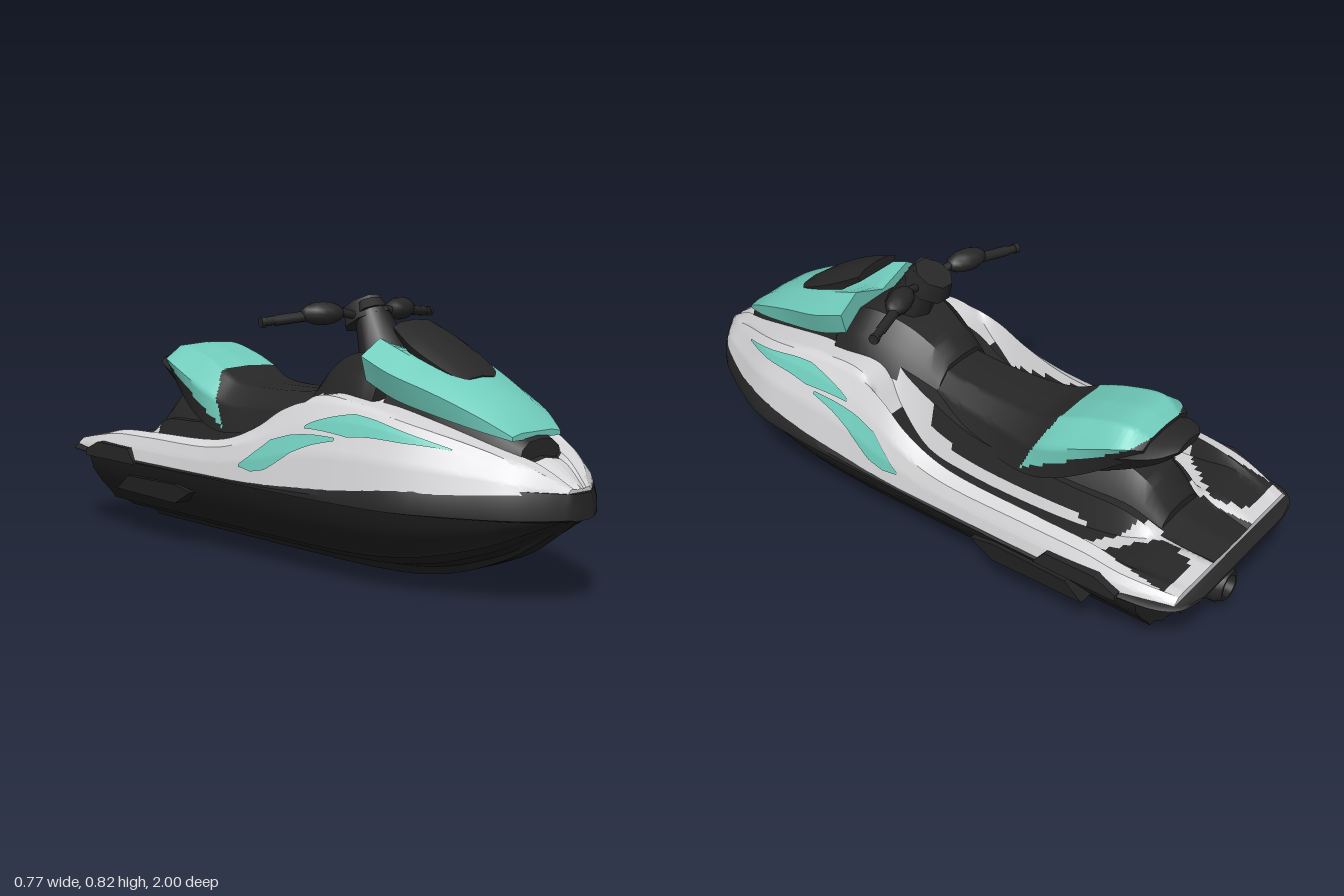
import * as THREE from 'three';
import { toCreasedNormals } from 'three/addons/utils/BufferGeometryUtils.js';

const mat = (name, color) => Object.assign(new THREE.MeshStandardMaterial({ color }), { name });
const mix = THREE.MathUtils.lerp;

// Curves running front to back through matching points of half sections [z, [[x, y], ...]]
const railsOf = (sections) => sections[0][1].map((_, i) =>
  new THREE.CatmullRomCurve3(sections.map(([z, pts]) => new THREE.Vector3(pts[i][0], pts[i][1], z))));

// Surface point at section number t and profile position v
function surfacePoint(rails, count, t, v) {
  const i = Math.min(Math.floor(v), rails.length - 2);
  const u = t / (count - 1);
  return rails[i].getPoint(u).lerp(rails[i + 1].getPoint(u), v - i);
}

// Closed mirrored loft. Half profiles run from top centre outward and down.
// paint(x, y, z, segment) gives the index of the material of each face.
function loft(name, mats, sections, { per = 4, sub = 1, paint = () => 0, crease = 0.6 } = {}) {
  const rails = railsOf(sections);
  const rows = (sections.length - 1) * per, n = (rails.length - 1) * sub + 1, ring = 2 * n - 1;
  const verts = [];
  for (let r = 0; r <= rows; r++) {
    const half = [];
    for (let j = 0; j < n; j++) half.push(surfacePoint(rails, sections.length, r / per, j / sub));
    verts.push(...half);
    for (let j = n - 1; j > 0; j--) verts.push(new THREE.Vector3(-half[j].x, half[j].y, half[j].z));
  }
  const lists = mats.map(() => []);
  for (let r = 0; r < rows; r++) for (let k = 0; k < ring; k++) {
    const k2 = (k + 1) % ring;
    const a = r * ring + k, b = r * ring + k2, c = b + ring, d = a + ring;
    const m = new THREE.Vector3();
    for (const q of [a, b, c, d]) m.addScaledVector(verts[q], 0.25);
    const j = k < n - 1 ? k : k === n - 1 ? n - 2 : ring - 1 - k;
    lists[paint(Math.abs(m.x), m.y, m.z, Math.floor(j / sub))].push(a, b, c, a, c, d);
  }
  for (const [r, front] of [[0, true], [rows, false]]) {
    const mid = new THREE.Vector3();
    for (let k = 0; k < ring; k++) mid.addScaledVector(verts[r * ring + k], 1 / ring);
    const c = verts.push(mid) - 1;
    for (let k = 0; k < ring; k++) {
      const a = r * ring + k, b = r * ring + (k + 1) % ring;
      lists[0].push(c, ...(front ? [b, a] : [a, b]));
    }
  }
  const geo = new THREE.BufferGeometry().setFromPoints(verts);
  geo.setIndex(lists.flat());
  let start = 0;
  lists.forEach((l, i) => { if (l.length) geo.addGroup(start, l.length, i); start += l.length; });
  const mesh = new THREE.Mesh(toCreasedNormals(geo, crease), mats);
  mesh.name = name;
  return mesh;
}

// Rounded shell section from a few sizes: [z, top height, side x, bottom x, bottom y, centre rise]
const shell = ([z, top, side, botX, botY, rise = 0.005]) =>
  [z, [[0, top + rise], [side * 0.62, top], [side, mix(top, botY, 0.4)], [botX, botY]]];

// Deck section: centre, pedestal top, floor inner, floor outer, rail inner, rail outer, flank, edge
const deckSection = ([z, edgeX, edgeY, railX, railY, innerY, floorX, floorY, mid]) => [z, [
  [0, mid], [floorX * 0.84, mid - 0.01], [floorX, floorY], [railX * 0.84, floorY], [railX * 0.89, innerY],
  [railX, railY], [mix(railX, edgeX, 0.65), mix(railY, edgeY, 0.47)], [edgeX, edgeY]]];

// Thin painted patch lying just above a lofted surface; rows are [t, v0, v1]
function patch(name, material, sections, rows, side) {
  const rails = railsOf(sections), verts = [], index = [], V = 14, S = 8;
  const steps = (rows.length - 1) * S;
  for (let r = 0; r <= steps; r++) {
    const i = Math.min(Math.floor(r / S), rows.length - 2), f = r / S - i;
    const [t, v0, v1] = rows[i].map((a, k) => mix(a, rows[i + 1][k], f));
    for (let q = 0; q <= V; q++) {
      const p = surfacePoint(rails, sections.length, t, mix(v0, v1, q / V));
      verts.push(new THREE.Vector3((p.x + 0.003) * side, p.y + 0.003, p.z));
    }
  }
  for (let r = 0; r < steps; r++) for (let q = 0; q < V; q++) {
    const a = r * (V + 1) + q, b = a + 1, c = b + V + 1, d = c - 1;
    index.push(...(side > 0 ? [a, b, c, a, c, d] : [a, c, b, a, d, c]));
  }
  const geo = new THREE.BufferGeometry().setFromPoints(verts);
  geo.setIndex(index);
  geo.computeVertexNormals();
  const mesh = new THREE.Mesh(geo, material);
  mesh.name = name;
  return mesh;
}

export function createModel() {
  const g = new THREE.Group();
  g.name = 'jetSki';
  const black = mat('black', 0x272727), hullBlack = mat('hullBlack', 0x212121);
  const silver = mat('silver', 0xd6d6d8), teal = mat('teal', 0x70ccbc);
  const add = (name, geo, m, pos = [0, 0, 0], rot = [0, 0, 0], scale = [1, 1, 1]) => {
    const mesh = new THREE.Mesh(geo, m);
    mesh.name = name;
    mesh.position.set(...pos); mesh.rotation.set(...rot); mesh.scale.set(...scale);
    g.add(mesh);
  };
  // Flat plate from a side outline of [distance aft, height]
  const plate = (outline, depth) => new THREE.ExtrudeGeometry(
    new THREE.Shape(outline.map(([a, y]) => new THREE.Vector2(a, y))), { depth, bevelEnabled: false });

  // Hull with stepped strakes, squeezed up and in toward the bow: [z, half width, keel height]
  const strakes = [[0, 0.26], [1, 0.26], [0.95, 0.195], [0.86, 0.15], [0.73, 0.1], [0.7, 0.083],
    [0.64, 0.085], [0.49, 0.05], [0.44, 0.05], [0.23, 0.028], [0.18, 0], [0, 0]];
  g.add(loft('hull', [hullBlack], [[0.97, 0.07, 0.24], [0.9, 0.15, 0.19], [0.8, 0.215, 0.125], [0.7, 0.265, 0.08],
    [0.6, 0.3, 0.045], [0.45, 0.33, 0.015], [0.25, 0.345, 0.002], [0, 0.35, 0], [-0.85, 0.348, 0]]
    .map(([z, w, keel]) => [z, strakes.map(([x, y]) => [x * w, mix(keel, 0.26, y / 0.26)])]), { crease: 0.4, per: 6 }));

  // Rubbing band around the gunwale: [z, half width, top]
  g.add(loft('gunwaleBand', [black], [[1, 0.05, 0.325], [0.96, 0.11, 0.33], [0.9, 0.175, 0.335], [0.8, 0.24, 0.328],
    [0.6, 0.335, 0.315], [0.4, 0.362, 0.3], [0.2, 0.372, 0.285], [-0.1, 0.378, 0.272], [-0.5, 0.383, 0.268],
    [-0.8, 0.375, 0.268], [-0.93, 0.35, 0.265], [-0.98, 0.31, 0.262], [-1, 0.24, 0.258]]
    .map(([z, w, t]) => [z, [[0, t], [w - 0.015, t], [w, mix(0.25, t, 0.5)], [w, 0.256], [w - 0.025, 0.25], [0, 0.25]]])));

  // Deck with side rails, sunken footwells and a stern platform
  const deck = [
    [0.99, 0.05, 0.32, 0.046, 0.33, 0.335, 0.025, 0.337, 0.338],
    [0.9, 0.165, 0.325, 0.13, 0.375, 0.39, 0.06, 0.395, 0.395],
    [0.8, 0.23, 0.32, 0.18, 0.41, 0.43, 0.09, 0.428, 0.418],
    [0.6, 0.322, 0.305, 0.265, 0.455, 0.485, 0.13, 0.485, 0.475],
    [0.4, 0.352, 0.29, 0.29, 0.475, 0.518, 0.16, 0.525, 0.54],
    [0.2, 0.364, 0.275, 0.307, 0.455, 0.518, 0.17, 0.53, 0.56],
    [0.1, 0.37, 0.265, 0.325, 0.42, 0.485, 0.2, 0.42, 0.52],
    [0, 0.373, 0.262, 0.342, 0.385, 0.425, 0.2, 0.31, 0.465],
    [-0.15, 0.374, 0.26, 0.352, 0.35, 0.372, 0.195, 0.275, 0.405],
    [-0.5, 0.376, 0.26, 0.352, 0.34, 0.352, 0.195, 0.275, 0.385],
    [-0.68, 0.374, 0.26, 0.347, 0.333, 0.342, 0.175, 0.285, 0.37],
    [-0.8, 0.366, 0.258, 0.34, 0.314, 0.318, 0.14, 0.303, 0.31],
    [-0.96, 0.32, 0.255, 0.295, 0.283, 0.285, 0.11, 0.284, 0.282],
  ].map(deckSection);
  g.add(loft('deck', [silver, black], deck, {
    per: 12, sub: 6,
    paint: (x, y, z, s) => {
      if (z < -0.58) { // stern: silver diagonals between the mats and the rear pads
        if (x < 0.11) return 1;
        const d = z - x + 0.9;
        if (x > 0.31 || z < -0.925 || Math.abs(d) < 0.035) return 0;
        return d > 0 || x > 0.13 + Math.max(0, (-0.84 - z) * 0.4) ? 1 : 0;
      }
      if (s === 0) return z < 0.87 ? 1 : 0;
      if (s === 1) return (z > 0.45 && z < 0.86) || (z < 0 && x < 0.184) ? 1 : 0;
      if (s === 2) return z < 0.1 ? 1 : 0; // footwell mat
      return s === 3 && z < 0.06 && y < 0.345 ? 1 : 0;
    },
  }));

  // Teal flank stripes, in two pieces
  for (const side of [1, -1]) {
    g.add(patch('flankStripe', teal, deck, [[2.4, 4.95, 5.05], [3, 4.72, 5.25], [3.6, 4.5, 5.35], [4, 4.45, 5.45], [4.5, 4.85, 5.3], [4.85, 5.1, 5.2]], side));
    g.add(patch('flankStripeTail', teal, deck, [[4.2, 5.5, 5.6], [4.6, 5.42, 5.75], [5.2, 5.35, 6.1], [6, 5.3, 6.45], [6.6, 5.7, 6.5], [7.1, 6.15, 6.3]], side));
  }

  // Front hood, its rear corners rising as horns, over a dark base
  g.add(loft('hood', [teal], [[0.835, 0.474, 0.1, 0.1, 0.455, 0], [0.75, 0.538, 0.136, 0.132, 0.475], [0.6, 0.612, 0.17, 0.155, 0.505],
    [0.45, 0.665, 0.196, 0.172, 0.54, -0.01], [0.34, 0.703, 0.197, 0.178, 0.585, -0.045]].map(shell)));
  g.add(loft('hoodBase', [black], [[0.85, 0.45, 0.075, 0.085, 0.4], [0.75, 0.5, 0.1, 0.12, 0.42],
    [0.6, 0.54, 0.13, 0.15, 0.46], [0.4, 0.58, 0.155, 0.175, 0.5]].map(shell)));

  // Dark windscreen cover rising from the hood
  g.add(loft('windscreen', [black], [[0.63, 0.604, 0.075, 0.07, 0.585], [0.57, 0.645, 0.1, 0.095, 0.605],
    [0.46, 0.705, 0.11, 0.1, 0.65], [0.36, 0.748, 0.09, 0.08, 0.715]].map(shell)));

  // Console between hood and seat
  g.add(loft('console', [black], [[0.38, 0.62, 0.17, 0.195, 0.515], [0.3, 0.655, 0.175, 0.205, 0.51],
    [0.18, 0.64, 0.15, 0.19, 0.5], [0.09, 0.595, 0.125, 0.165, 0.47], [0.02, 0.535, 0.11, 0.14, 0.43]].map(shell)));

  // Seat with a slanted teal rear panel
  g.add(loft('seat', [black, teal], [[0.1, 0.54, 0.11, 0.135, 0.43], [0, 0.515, 0.125, 0.155, 0.4], [-0.2, 0.505, 0.14, 0.168, 0.37],
    [-0.34, 0.515, 0.165, 0.182, 0.36], [-0.42, 0.55, 0.178, 0.18, 0.375], [-0.52, 0.587, 0.175, 0.165, 0.42],
    [-0.65, 0.612, 0.16, 0.13, 0.5], [-0.71, 0.585, 0.12, 0.1, 0.54]].map(shell), {
    per: 16, sub: 8, crease: 0.9,
    paint: (x, y, z, s) => s < 3 && z < -0.33 - 0.5 * (y - 0.375) && y > 0.4 + 0.565 * (-0.38 - z) ? 1 : 0,
  }));

  // Rear grab handle and seat pedestal
  g.add(loft('grabHandle', [black], [[-0.5, 0.53, 0.15, 0.12, 0.4], [-0.66, 0.57, 0.145, 0.1, 0.47],
    [-0.75, 0.572, 0.11, 0.08, 0.52], [-0.79, 0.57, 0.06, 0.04, 0.55]].map(shell)));
  g.add(loft('seatPedestal', [black], [[-0.3, 0.44, 0.155, 0.172, 0.33], [-0.6, 0.465, 0.12, 0.155, 0.32],
    [-0.7, 0.43, 0.11, 0.13, 0.31], [-0.78, 0.34, 0.09, 0.105, 0.295]].map(shell)));

  // Steering column and head
  add('steeringColumn', new THREE.CylinderGeometry(0.05, 0.085, 0.18, 8), black, [0, 0.685, 0.21], [-0.45, 0, 0]);
  add('steeringHead', new THREE.CylinderGeometry(0.055, 0.068, 0.06, 8), black, [0, 0.763, 0.145], [-0.5, Math.PI / 8, 0], [1, 1, 1.15]);
  add('headPad', new THREE.CylinderGeometry(0.05, 0.062, 0.03, 8), black, [0, 0.782, 0.175], [-0.45, Math.PI / 8, 0], [1, 1, 0.7]);

  for (const s of [1, -1]) {
    // Handlebars, controls and grips
    const v = (x, y, z) => new THREE.Vector3(x * s, y, z);
    const bar = new THREE.CatmullRomCurve3([v(0.03, 0.75, 0.16), v(0.12, 0.768, 0.145), v(0.2, 0.76, 0.115), v(0.345, 0.745, 0.075)]);
    add('handlebar', new THREE.TubeGeometry(bar, 20, 0.013, 8), black);
    const grip = new THREE.LineCurve3(v(0.21, 0.758, 0.112), v(0.31, 0.748, 0.085));
    add('grip', new THREE.TubeGeometry(grip, 2, 0.016, 10), black);
    add('gripEnd', new THREE.CylinderGeometry(0.016, 0.016, 0.014, 10), black, [0.343 * s, 0.745, 0.076], [0, s * 0.27, Math.PI / 2]);
    add('controlPod', new THREE.SphereGeometry(1, 12, 8), black, [0.16 * s, 0.765, 0.132], [0, s * 0.3, 0], [0.072, 0.035, 0.038]);

    // Side sponsons and stern bumpers
    add('sponson', plate([[0.28, 0.19], [0.36, 0.205], [0.62, 0.2], [0.68, 0.15], [0.36, 0.145]], 0.06),
      hullBlack, [s > 0 ? 0.29 : -0.35, 0, 0], [0, Math.PI / 2, 0]);
    add('sternBumper', plate([[0.53, 0.25], [0.57, 0.3], [0.74, 0.302], [0.81, 0.27], [0.81, 0.25]], 0.03),
      black, [s > 0 ? 0.355 : -0.385, 0, 0], [0, Math.PI / 2, 0]);
    // Stern bracket arms reaching down beside the nozzle
    add('bracketArm', plate([[0.84, 0.255], [0.97, 0.255], [0.955, 0.17], [0.92, 0.1], [0.84, 0.13]], 0.02),
      hullBlack, [0.09 * s - 0.01, 0, 0], [0, Math.PI / 2, 0]);
  }

  // Jet pump nozzle
  const nozzle = [[0.001, 0], [0.075, 0], [0.075, 0.03], [0.06, 0.035], [0.055, 0.07], [0.062, 0.075], [0.06, 0.095],
    [0.045, 0.12], [0.036, 0.12], [0.032, 0.06], [0.001, 0.06]].map(([r, h]) => new THREE.Vector2(r, h));
  add('jetNozzle', toCreasedNormals(new THREE.LatheGeometry(nozzle, 20), 0.5), black, [0, 0.125, -0.845], [-Math.PI / 2, 0, 0]);

  return g;
}
